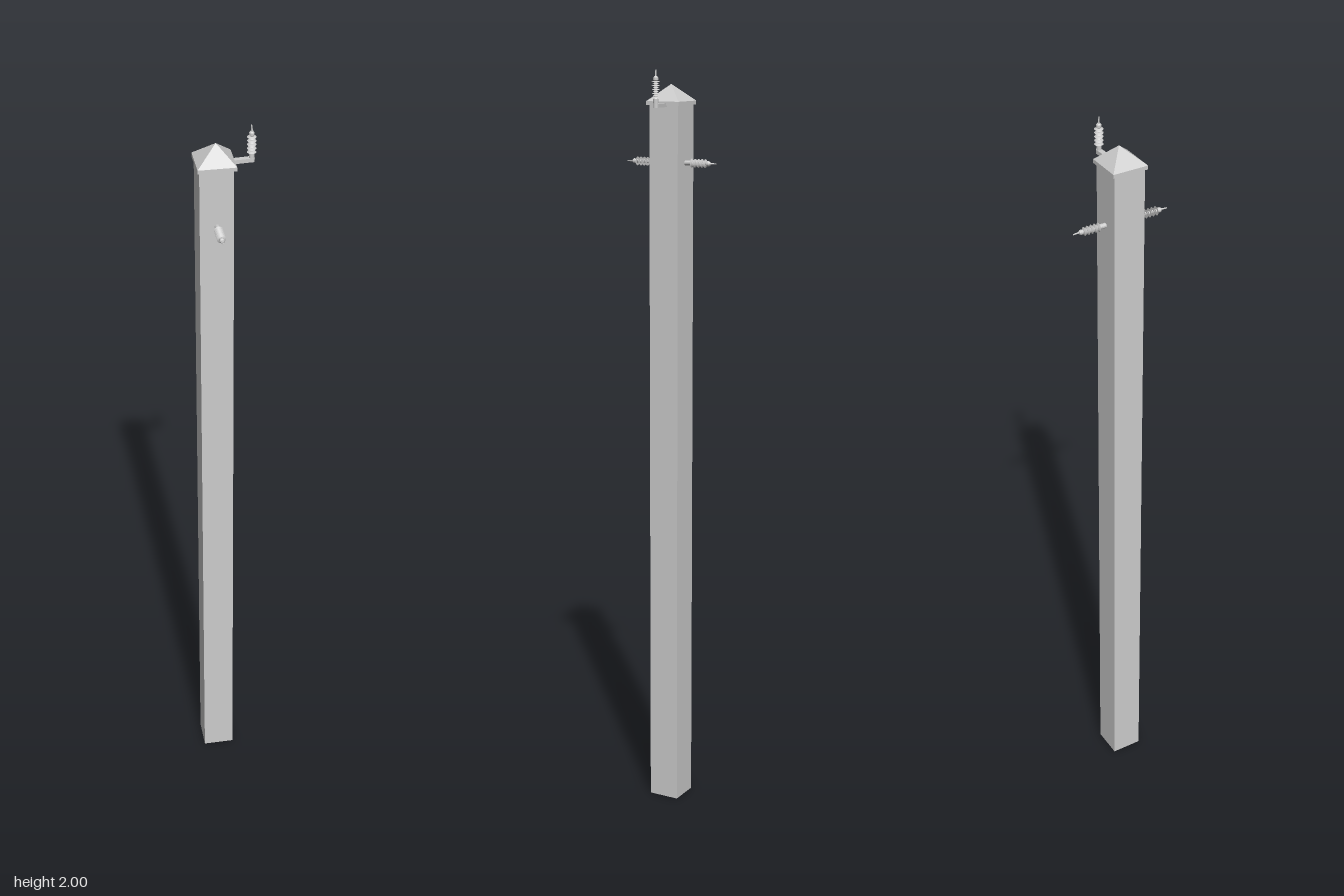
import * as THREE from 'three';

const CX = -0.03, CZ = -0.003; // post axis

function material(flat = false) {
  return new THREE.MeshStandardMaterial({ color: 0xcccccc, flatShading: flat, side: THREE.DoubleSide });
}

function add(parent, name, geometry, flat) {
  const mesh = new THREE.Mesh(geometry, material(flat));
  mesh.name = name;
  parent.add(mesh);
  return mesh;
}

// Ribbed insulator along +y: 0.09 long, starting at its mounting face
function insulator(name) {
  const group = new THREE.Group();
  group.name = name;

  // Core with a stout foot and a rounded head
  const core = [[0, -0.004], [0.0065, -0.004], [0.0065, 0.017], [0.005, 0.02], [0.005, 0.062],
    [0.0065, 0.064], [0.0065, 0.07], [0.004, 0.0735], [0, 0.0735]];
  add(group, 'insulatorCore', new THREE.LatheGeometry(core.map(p => new THREE.Vector2(...p)), 16), true);

  // Thin sheds, alternating wide and narrow
  for (let i = 0; i < 9; i++) {
    const r = i % 2 ? 0.0085 : 0.0115;
    const shed = new THREE.CylinderGeometry(r * 0.55, r, 0.0028, 20);
    add(group, 'insulatorShed', shed, true).position.y = 0.0205 + i * 0.005;
  }

  // Slightly tilted terminal pin
  const pin = add(group, 'terminalPin', new THREE.CylinderGeometry(0.0016, 0.0024, 0.02, 8), true);
  pin.position.set(0, 0.08, 0);
  pin.rotation.z = 0.1;
  return group;
}

export function createModel() {
  const model = new THREE.Group();
  model.name = 'powerPole';

  // Square post
  add(model, 'post', new THREE.BoxGeometry(0.084, 1.914, 0.084), true).position.set(CX, 0.957, CZ);

  // Overhanging cap: thin slab and pyramid
  add(model, 'capSlab', new THREE.BoxGeometry(0.095, 0.01, 0.095), true).position.set(CX + 0.001, 1.915, CZ);
  const roof = new THREE.ConeGeometry(0.095 / Math.SQRT2, 0.043, 4, 1, true);
  roof.rotateY(Math.PI / 4);
  const p = roof.attributes.position;
  for (let i = 0; i < p.count; i++) {
    if (p.getY(i) > 0) p.setXYZ(i, 0.004, p.getY(i), -0.002); // apex sits a little off centre
  }
  add(model, 'capRoof', roof, true).position.set(CX + 0.001, 1.9415, CZ);

  // Tapered side arm with a rounded end
  const arm = new THREE.Shape();
  arm.moveTo(0.0, -0.001);
  arm.lineTo(0.0625, 0.0025);
  arm.absarc(0.0625, 0.009, 0.0075, -Math.PI / 2, Math.PI / 2, false);
  arm.lineTo(0.0, 0.012);
  arm.closePath();
  const armGeometry = new THREE.ExtrudeGeometry(arm, { depth: 0.01, bevelEnabled: false, curveSegments: 8 });
  armGeometry.rotateX(-Math.PI / 2);
  add(model, 'sideArm', armGeometry, true).position.y = 1.906;

  // Upright insulator on the arm
  const top = insulator('topInsulator');
  top.position.set(0.0625, 1.911, -0.009);
  model.add(top);

  // Front and back insulators through the post
  for (const side of [1, -1]) {
    const ins = insulator(side > 0 ? 'frontInsulator' : 'backInsulator');
    ins.rotation.x = side * Math.PI / 2;
    ins.position.set(-0.029, 1.763, CZ + side * 0.042);
    model.add(ins);
  }
  return model;
}
